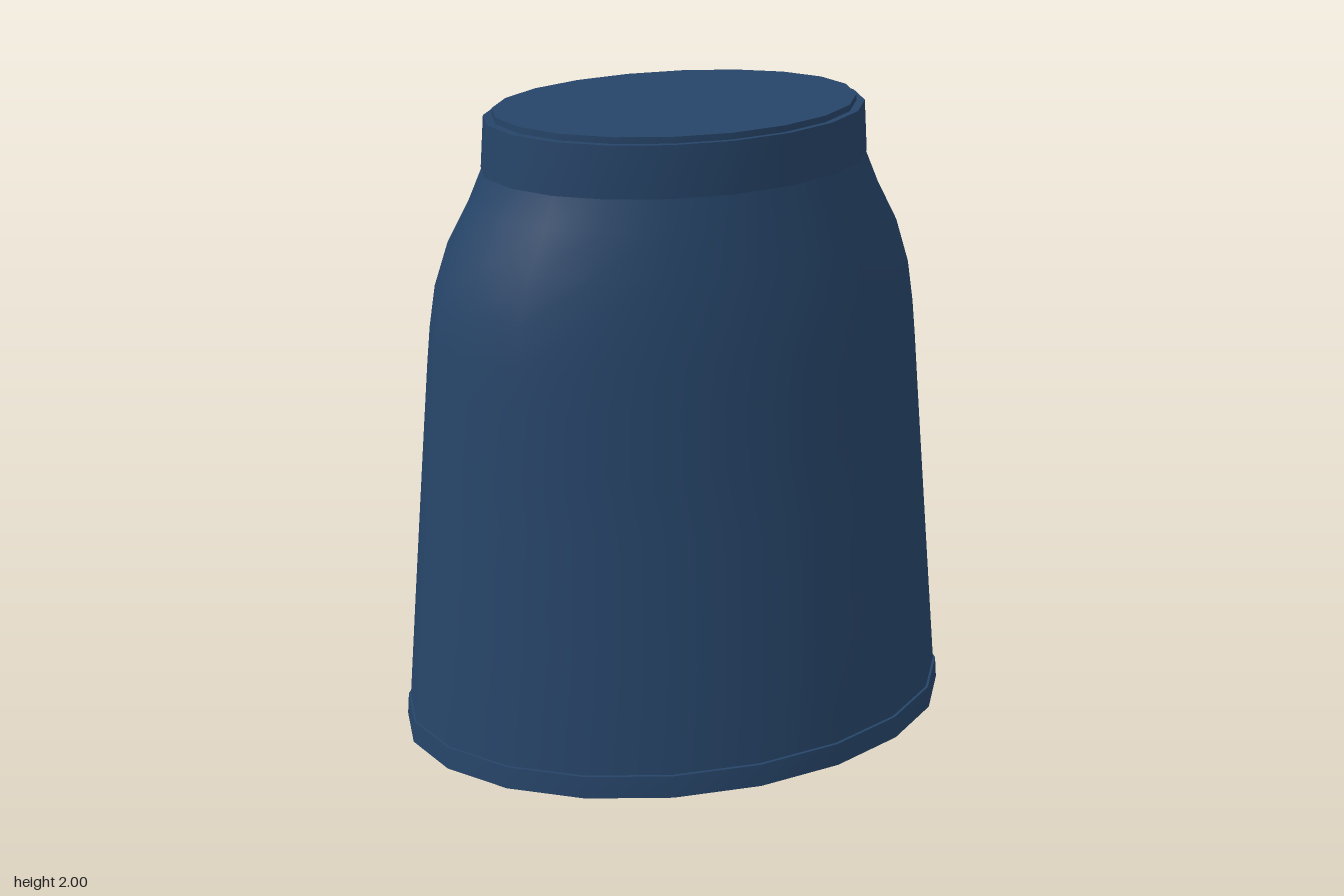
import * as THREE from 'three';

const SIDES = 20;
const CENTRE = -0.015; // z of the widest line

// One oval section: y, half width, front z, back z -> ring of points
function ring([y, rx, front, back]) {
  return Array.from({ length: SIDES }, (_, i) => {
    const a = (i / SIDES) * Math.PI * 2;
    const c = Math.cos(a);
    const reach = c > 0 ? front - CENTRE : CENTRE - back;
    return [rx * Math.sin(a), y, CENTRE + reach * c];
  });
}

// Each strip is a list of sections; strips meet with sharp edges
function loft(name, material, strips) {
  const positions = [];
  const indices = [];
  for (const strip of strips) {
    const base = positions.length / 3;
    strip.forEach((section) => positions.push(...ring(section).flat()));
    for (let r = 0; r < strip.length - 1; r++) {
      for (let i = 0; i < SIDES; i++) {
        const a = base + r * SIDES + i;
        const b = base + r * SIDES + ((i + 1) % SIDES);
        indices.push(a, b, b + SIDES, a, b + SIDES, a + SIDES);
      }
    }
  }
  const geometry = new THREE.BufferGeometry();
  geometry.setAttribute('position', new THREE.Float32BufferAttribute(positions, 3));
  geometry.setIndex(indices);
  geometry.computeVertexNormals();
  const mesh = new THREE.Mesh(geometry, material);
  mesh.name = name;
  return mesh;
}

const centreAt = (y) => [y, 0, CENTRE, CENTRE];

export function createModel() {
  const group = new THREE.Group();
  group.name = 'skirt';
  const navy = new THREE.MeshStandardMaterial({ color: 0x264468 });
  navy.name = 'navy cloth';

  // Flared body, narrowing over the hips to the waist
  group.add(loft('skirtBody', navy, [[
    [0.02, 0.892, 0.668, -0.664],
    [0.4, 0.862, 0.62, -0.642],
    [0.8, 0.83, 0.573, -0.615],
    [1.0, 0.814, 0.55, -0.6],
    [1.2, 0.798, 0.53, -0.582],
    [1.32, 0.787, 0.517, -0.568],
    [1.45, 0.768, 0.5, -0.546],
    [1.59, 0.724, 0.477, -0.502],
    [1.72, 0.655, 0.452, -0.448],
    [1.82, 0.612, 0.434, -0.417],
    [1.86, 0.6, 0.425, -0.405],
  ]]));

  // Hem band with closed underside
  const hemLow = [0, 0.9, 0.678, -0.673];
  const hemHigh = [0.07, 0.895, 0.672, -0.668];
  group.add(loft('hemBand', navy, [
    [centreAt(0), hemLow],
    [hemLow, hemHigh],
    [hemHigh, [0.07, 0.88, 0.655, -0.655]],
  ]));

  // Waistband with a narrow ledge on top
  const bandLow = [1.82, 0.615, 0.438, -0.421];
  const bandHigh = [1.98, 0.604, 0.436, -0.415];
  group.add(loft('waistband', navy, [
    [[1.82, 0.6, 0.42, -0.405], bandLow],
    [bandLow, bandHigh],
    [bandHigh, [1.98, 0.57, 0.415, -0.4]],
  ]));

  // Raised flat cap closing the waist
  const capHigh = [2, 0.576, 0.42, -0.402];
  group.add(loft('waistCap', navy, [
    [[1.9, 0.576, 0.42, -0.402], capHigh],
    [capHigh, centreAt(2)],
  ]));

  return group;
}
